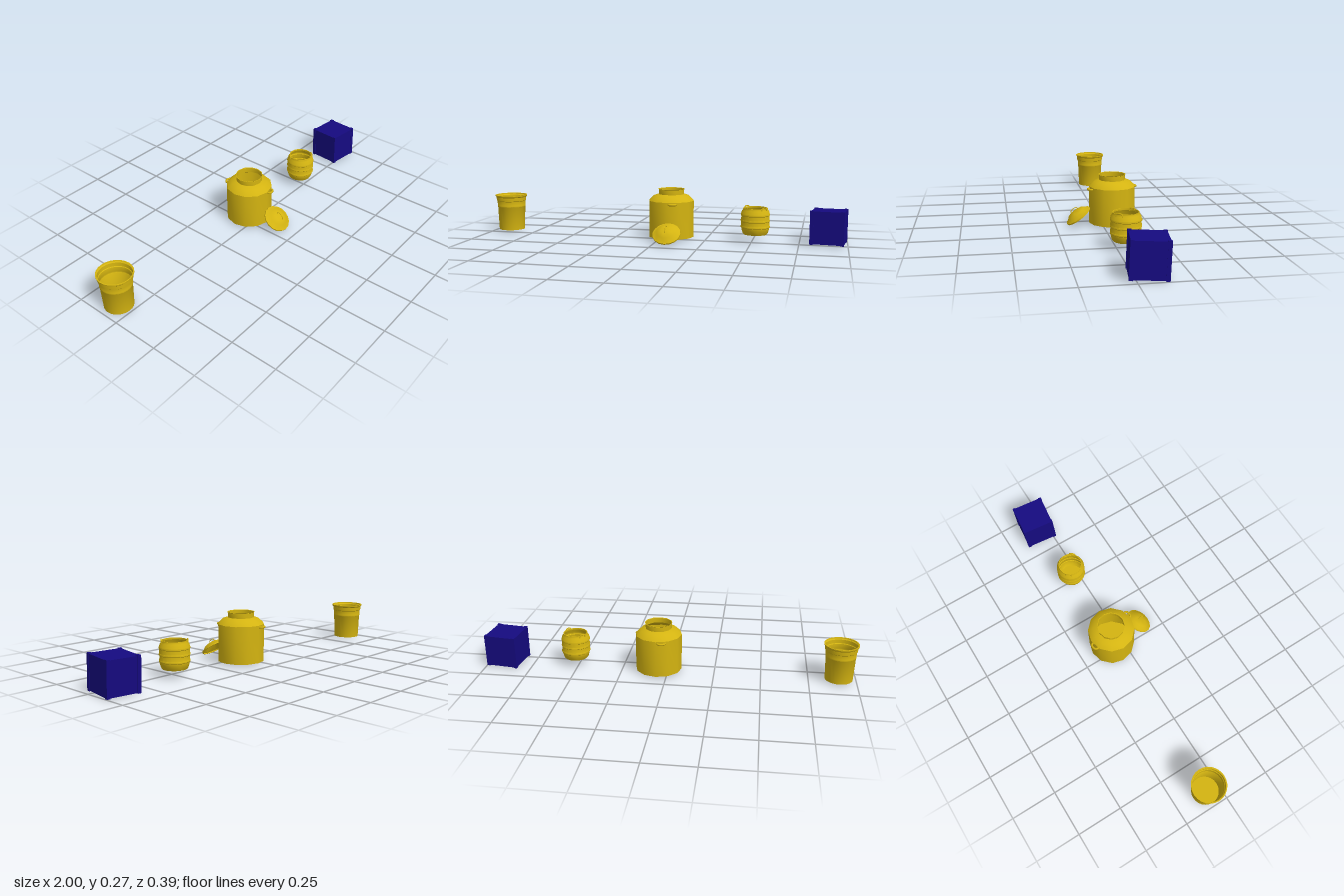
import * as THREE from 'three';
import { toCreasedNormals } from 'three/addons/utils/BufferGeometryUtils.js';

const yellow = new THREE.MeshStandardMaterial({ color: 0xd4b411, side: THREE.DoubleSide });
const blue = new THREE.MeshStandardMaterial({ color: 0x150a80 });

// Turned vessel from [radius, height] pairs
function turned(name, profile, sides) {
  const geometry = new THREE.LatheGeometry(profile.map(([r, y]) => new THREE.Vector2(r, y)), sides);
  const mesh = new THREE.Mesh(toCreasedNormals(geometry, 0.6), yellow);
  mesh.name = name;
  return mesh;
}

// Half-loop of wire, feet on the local x axis, arching up +y
function wireLoop(name, width, height, radius) {
  const curve = new THREE.CatmullRomCurve3(
    [[-1, 0], [-0.8, 0.75], [0, 1], [0.8, 0.75], [1, 0]].map(
      ([x, y]) => new THREE.Vector3((x * width) / 2, y * height, 0)));
  const mesh = new THREE.Mesh(new THREE.TubeGeometry(curve, 12, radius, 6), yellow);
  mesh.name = name;
  return mesh;
}

function group(name, x, y, z, ...children) {
  const g = new THREE.Group();
  g.name = name;
  g.position.set(x, y, z);
  if (children.length) g.add(...children);
  return g;
}

function createBucket() {
  return group('bucket', -0.909, 0.01, -0.077, turned('bucketShell', [
    [0, 0], [0.073, 0], [0.078, 0.13], [0.08, 0.133], [0.08, 0.14], [0.079, 0.143],
    [0.081, 0.165], [0.084, 0.168], [0.085, 0.188], [0.09, 0.193], [0.091, 0.2], [0.085, 0.2],
  ], 24));
}

function createCan() {
  const can = group('can', 0.053, 0.01, -0.057, turned('canBody', [
    [0, 0], [0.125, 0], [0.125, 0.2], [0.098, 0.226], [0.071, 0.235], [0.071, 0.261],
    [0.074, 0.263], [0.071, 0.263],
  ], 12));
  // Side grips on opposite sides, lying flat
  for (const angle of [0.25, 0.25 + Math.PI]) {
    const side = group('canHandle', 0, 0.19, 0);
    const loop = wireLoop('canHandleLoop', 0.04, 0.019, 0.006);
    loop.rotation.x = Math.PI / 2;
    loop.position.z = 0.118;
    side.add(loop);
    side.rotation.y = angle;
    can.add(side);
  }
  return can;
}

function createLid() {
  const handle = wireLoop('lidHandle', 0.045, 0.018, 0.0018);
  handle.position.y = 0.033;
  handle.rotation.y = Math.PI / 2;
  const lid = group('lid', 0.067, 0.051, 0.126, turned('lidDome', [
    [0.071, 0], [0.075, 0], [0.075, 0.007], [0.067, 0.009], [0.05, 0.026], [0.026, 0.034], [0, 0.036],
  ], 16), handle);
  lid.rotation.x = 0.633; // leans back against the can
  return lid;
}

function createBarrel() {
  const profile = [[0, 0], [0.063, 0], [0.068, 0.008], [0.074, 0.028]];
  // Raised hoops around the belly
  for (const y of [0.035, 0.068, 0.1]) {
    profile.push([0.075, y], [0.078, y + 0.003], [0.078, y + 0.009], [0.076, y + 0.012]);
  }
  profile.push([0.074, 0.122], [0.067, 0.132], [0.065, 0.137], [0.065, 0.142], [0.061, 0.142], [0.061, 0.134]);
  const barrel = group('barrel', 0.516, 0.043, -0.043, turned('barrelBody', profile, 20));
  // Two ears standing on the rim
  for (const angle of [0.88, 0.88 + Math.PI]) {
    const ear = wireLoop('barrelEar', 0.034, 0.017, 0.003);
    ear.position.set(Math.sin(angle) * 0.065, 0.13, Math.cos(angle) * 0.065);
    ear.rotation.y = angle;
    barrel.add(ear);
  }
  return barrel;
}

function createCrate() {
  const crate = group('crate', 0.901, 0.0945, -0.065);
  const addBox = (name, w, h, d, x, z) => {
    const mesh = new THREE.Mesh(new THREE.BoxGeometry(w, h, d), blue);
    mesh.name = name;
    mesh.position.set(x, 0, z);
    crate.add(mesh);
  };
  addBox('crateBody', 0.172, 0.172, 0.172, 0, 0);
  // Corner posts, slightly proud of the faces
  for (const x of [-1, 1]) {
    for (const z of [-1, 1]) addBox('cratePost', 0.018, 0.178, 0.018, x * 0.079, z * 0.079);
  }
  crate.rotation.set(-0.035, -0.12, 0);
  return crate;
}

export function createModel() {
  const model = new THREE.Group();
  model.name = 'containers';
  model.add(createBucket(), createCan(), createLid(), createBarrel(), createCrate());
  return model;
}
